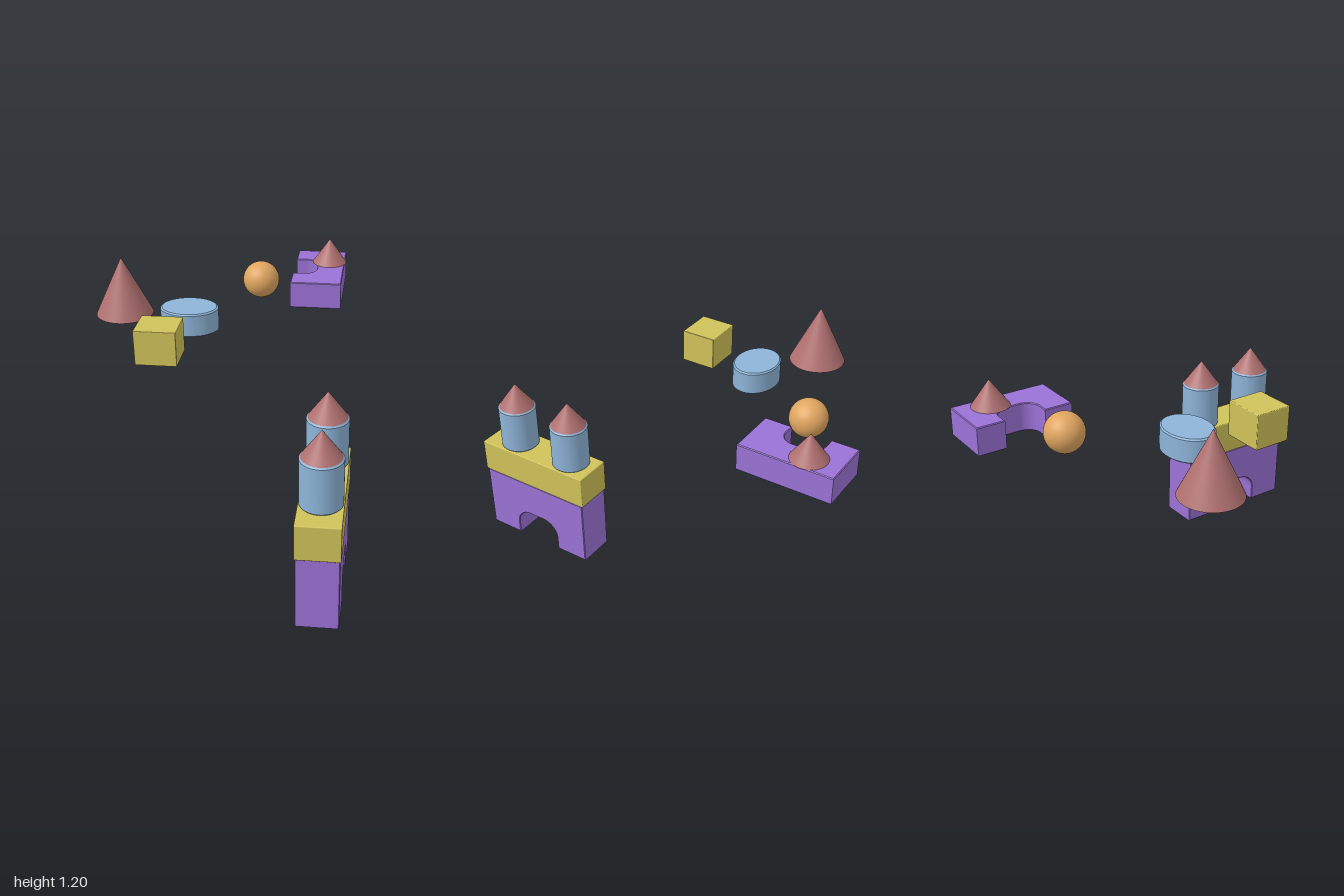
import * as THREE from 'three';
import { toCreasedNormals } from 'three/addons/utils/BufferGeometryUtils.js';
import { RoundedBoxGeometry } from 'three/addons/geometries/RoundedBoxGeometry.js';

const material = (color) => new THREE.MeshStandardMaterial({ color });
const purple = material(0x9b72d6);
const yellow = material(0xd0c25a);
const blue = material(0x8db4d8);
const red = material(0xb07070);
const orange = material(0xe0a560);

// Both the castle and the loose blocks sit diagonally
const TURN = -Math.PI / 4;
const SHELF = 0.89; // underside of the loose blocks

function add(parent, name, geometry, mat, x, y, z) {
  const mesh = new THREE.Mesh(geometry, mat);
  mesh.name = name;
  mesh.position.set(x, y, z);
  parent.add(mesh);
  return mesh;
}

// Bridge block: rounded arch cut from the bottom, centred in depth
function bridgeGeometry(length, height, depth, gap, rise, radius) {
  const l = length / 2, g = gap / 2, b = 0.004;
  const s = new THREE.Shape();
  s.moveTo(-l, 0);
  s.lineTo(-g, 0);
  s.lineTo(-g, rise - radius);
  s.absarc(-g + radius, rise - radius, radius, Math.PI, Math.PI / 2, true);
  s.lineTo(g - radius, rise);
  s.absarc(g - radius, rise - radius, radius, Math.PI / 2, 0, true);
  s.lineTo(g, 0);
  s.lineTo(l, 0);
  s.lineTo(l, height);
  s.lineTo(-l, height);
  s.closePath();
  const geo = new THREE.ExtrudeGeometry(s, {
    depth: depth - 2 * b, curveSegments: 12,
    bevelThickness: b, bevelSize: b, bevelOffset: -b, bevelSegments: 1,
  });
  geo.translate(0, 0, b - depth / 2);
  return toCreasedNormals(geo, 0.6);
}

// Drum standing on its base, with softened rims
function drumGeometry(radius, height) {
  const b = 0.007;
  const profile = [[0, 0], [radius - b, 0], [radius, b], [radius, height - b], [radius - b, height], [0, height]]
    .map(([x, y]) => new THREE.Vector2(x, y));
  return toCreasedNormals(new THREE.LatheGeometry(profile, 48), 0.6);
}

// Cone standing on its base
function coneGeometry(radius, height) {
  return new THREE.ConeGeometry(radius, height, 48).translate(0, height / 2, 0);
}

function createCastle() {
  const castle = new THREE.Group();
  castle.name = 'castle';
  add(castle, 'gateBlock', bridgeGeometry(0.65, 0.37, 0.2, 0.27, 0.165, 0.09), purple, 0, 0, 0);
  add(castle, 'beamBlock', new RoundedBoxGeometry(0.667, 0.18, 0.207, 2, 0.005), yellow, 0, 0.46, 0);
  for (const side of [-1, 1]) {
    const x = side * 0.173 - 0.02;
    add(castle, 'tower', drumGeometry(0.1, 0.24), blue, x, 0.55, 0);
    add(castle, 'towerRoof', coneGeometry(0.093, 0.13), red, x, 0.79, 0);
  }
  castle.position.set(0.687, 0, 0.398);
  castle.rotation.y = TURN;
  return castle;
}

function createLooseBlocks() {
  const loose = new THREE.Group();
  loose.name = 'looseBlocks';
  loose.position.y = SHELF;

  // Bridge lying on its face with a small cone on top
  const bridge = new THREE.Group();
  bridge.name = 'lyingBridge';
  bridge.position.set(-0.525, 0, -0.415);
  bridge.rotation.y = TURN;
  const geo = bridgeGeometry(0.495, 0.27, 0.143, 0.207, 0.125, 0.068);
  add(bridge, 'bridgeBlock', geo, purple, 0, 0.0715, 0).rotation.x = -Math.PI / 2;
  loose.add(bridge);
  add(loose, 'smallCone', coneGeometry(0.093, 0.133), red, -0.452, 0.143, -0.605);

  add(loose, 'largeCone', coneGeometry(0.15, 0.31), red, -0.85, 0, 0.48);
  add(loose, 'ball', new THREE.SphereGeometry(0.098, 40, 24), orange, -0.575, 0.098, -0.22);

  const box = new RoundedBoxGeometry(0.19, 0.177, 0.205, 2, 0.004);
  add(loose, 'squareBlock', box, yellow, -0.27, 0.0885, 0.63).rotation.y = TURN;

  // Oval drum, longest across the turned depth
  const drum = add(loose, 'ovalDrum', drumGeometry(0.117, 0.123), blue, -0.463, 0, 0.325);
  drum.scale.z = 1.27;
  drum.rotation.y = TURN;
  return loose;
}

export function createModel() {
  const model = new THREE.Group();
  model.name = 'toyBlocks';
  model.add(createCastle(), createLooseBlocks());
  return model;
}
